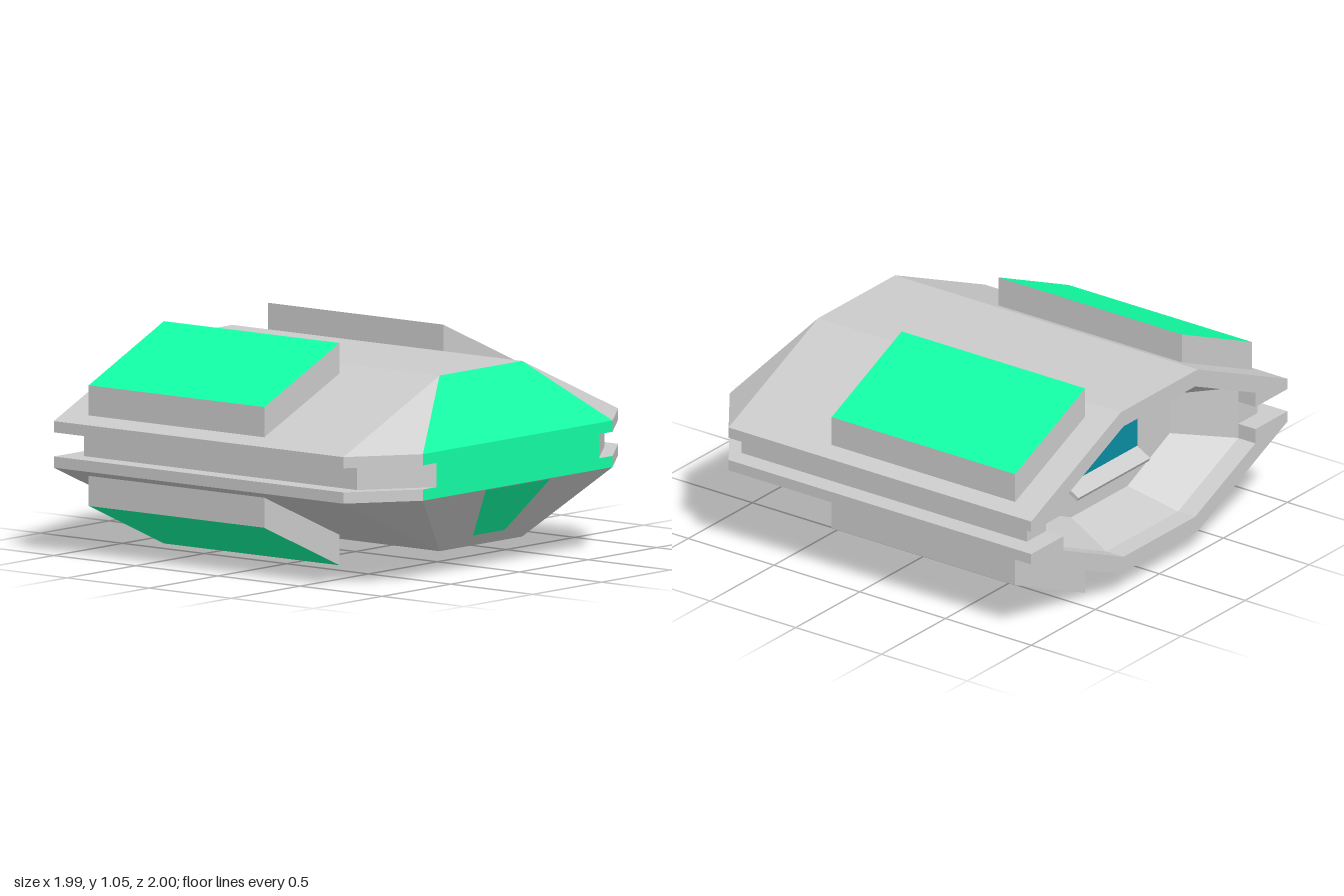
import * as THREE from 'three';

const MID = 0.53; // height of the symmetry plane
const UP = [1], DOWN = [-1], BOTH = [1, -1];

// Joins two sections, each { x, p: [[z, h], ...] }, with quads
function strip(a, b) {
  const at = (s, i) => [s.x, s.p[i][1], s.p[i][0]];
  return a.p.slice(1).map((_, i) => [at(a, i), at(a, i + 1), at(b, i + 1), at(b, i)]);
}
// Flat polygon across x; points run z then down for +x, z then up for -x
const cap = (x, p) => [p.map(([z, h]) => [x, h, z])];

// Mesh from convex faces [x, h, z], mirrored over z and over the mid plane
function mirrored(name, faces, material, ySigns = BOTH, zSigns = BOTH) {
  const pos = [];
  for (const sy of ySigns) for (const sz of zSigns) for (const face of faces) {
    const pts = face.map(([x, h, z]) => [x, MID + sy * h, sz * z]);
    if (sy * sz < 0) pts.reverse();
    for (let i = 1; i < pts.length - 1; i++) pos.push(...pts[0], ...pts[i], ...pts[i + 1]);
  }
  const geo = new THREE.BufferGeometry();
  geo.setAttribute('position', new THREE.Float32BufferAttribute(pos, 3));
  geo.computeVertexNormals();
  const mesh = new THREE.Mesh(geo, material);
  mesh.name = name;
  return mesh;
}

export function createModel() {
  const model = new THREE.Group();
  model.name = 'podCraft';
  const mat = (color) => new THREE.MeshStandardMaterial({ color, flatShading: true });
  const grey = mat(0xcccccc), green = mat(0x12ffa5), teal = mat(0x0b8fa5);
  const back = -1, wall = -0.9, shoulder = 0.765, tip = 0.99, bulk = -0.65;

  // Hull shell: roof, slope, lip, with a groove around the waist
  const outer = [[0, 0.415], [0.3, 0.415], [1, 0.11], [1, 0.057]];
  const lipped = [...outer, [0.9, 0.057]];
  const groove = [[0.9, 0.057], [0.9, 0]];
  model.add(mirrored('hull', [
    ...strip({ x: back, p: lipped }, { x: shoulder, p: lipped }),
    ...strip({ x: wall, p: groove }, { x: shoulder, p: groove }),
  ], grey));

  // Tapered nose sides, continuing the lip and groove
  model.add(mirrored('noseSides', strip(
    { x: shoulder, p: [...lipped.slice(1), [0.9, 0]] },
    { x: tip, p: [[0.69, 0.11], [0.69, 0.11], [0.69, 0.057], [0.59, 0.057], [0.59, 0]] },
  ), grey));
  const noseSlope = strip({ x: shoulder, p: [[0, 0.415], [0.3, 0.415]] }, { x: tip, p: [[0, 0.11], [0.69, 0.11]] });
  model.add(mirrored('windshield', noseSlope, green, UP));
  model.add(mirrored('noseUnderside', noseSlope, grey, DOWN));
  model.add(mirrored('noseFront', [
    ...cap(tip, [[0, 0.11], [0.69, 0.11], [0.69, 0.057], [0, 0.057]]),
    ...cap(tip, [[0, 0.057], [0.59, 0.057], [0.59, 0], [0, 0]]),
  ], green));
  model.add(mirrored('lowerWindow', strip(
    { x: 0.813, p: [[0, 0.358], [0.115, 0.358]] },
    { x: tip + 0.002, p: [[0, 0.113], [0.235, 0.113]] },
  ), green, DOWN));

  // Open rear: rim and recessed cabin
  const inner = [[0, 0.335], [0.28, 0.335], [0.75, 0.13], [0.75, 0.057]];
  const innerFull = [...inner, [0.75, 0]];
  const end = [[0, 0.25], [0.22, 0.25], [0.55, 0.1], [0.55, 0.05], [0.55, 0]];
  model.add(mirrored('rearRim', [
    ...strip({ x: back, p: inner }, { x: back, p: outer }),
    ...strip({ x: back, p: [[0.9, 0.057], [0.75, 0.057]] }, { x: wall, p: [[0.9, 0.057], [0.75, 0.057]] }),
    ...cap(wall, [[0.75, 0], [0.9, 0], [0.9, 0.057], [0.75, 0.057]]),
  ], grey));
  model.add(mirrored('cabin', [
    ...strip({ x: wall, p: inner }, { x: back, p: inner }),
    ...strip({ x: bulk, p: end }, { x: wall, p: innerFull }),
    ...cap(bulk, [[0, 0], ...end.slice().reverse()]),
  ], grey));

  // Cabin screen and the sloped console below it
  const screen = new THREE.Mesh(new THREE.BoxGeometry(0.02, 0.24, 0.56), teal);
  screen.name = 'screen';
  screen.position.set(bulk - 0.005, 0.59, 0);
  const desk = new THREE.Mesh(new THREE.BoxGeometry(0.1, 0.02, 0.56), grey);
  desk.name = 'console';
  desk.position.set(bulk - 0.04, 0.44, 0);
  desk.rotation.z = 0.5;
  model.add(screen, desk);

  // Four raised pods lying on the hull slopes
  const x0 = -0.85, x1 = 0.22;
  const face = [[0.378, 0.525], [0.925, 0.285]], base = [[0.925, 0.14], [0.378, 0.378]];
  const ring = [...face, ...base];
  const side = (p) => strip({ x: x0, p }, { x: x1, p });
  const podSides = [
    ...side([face[1], base[0]]), ...side([base[1], face[0]]),
    ...cap(x1, ring), ...cap(x0, ring.slice().reverse()),
  ];
  for (const sy of BOTH) for (const sz of BOTH) {
    const pod = new THREE.Group();
    pod.name = (sy > 0 ? 'upper' : 'lower') + (sz > 0 ? 'Front' : 'Back') + 'Pod';
    pod.add(mirrored('podSides', podSides, grey, [sy], [sz]), mirrored('podPanel', side(face), green, [sy], [sz]));
    model.add(pod);
  }
  return model;
}
